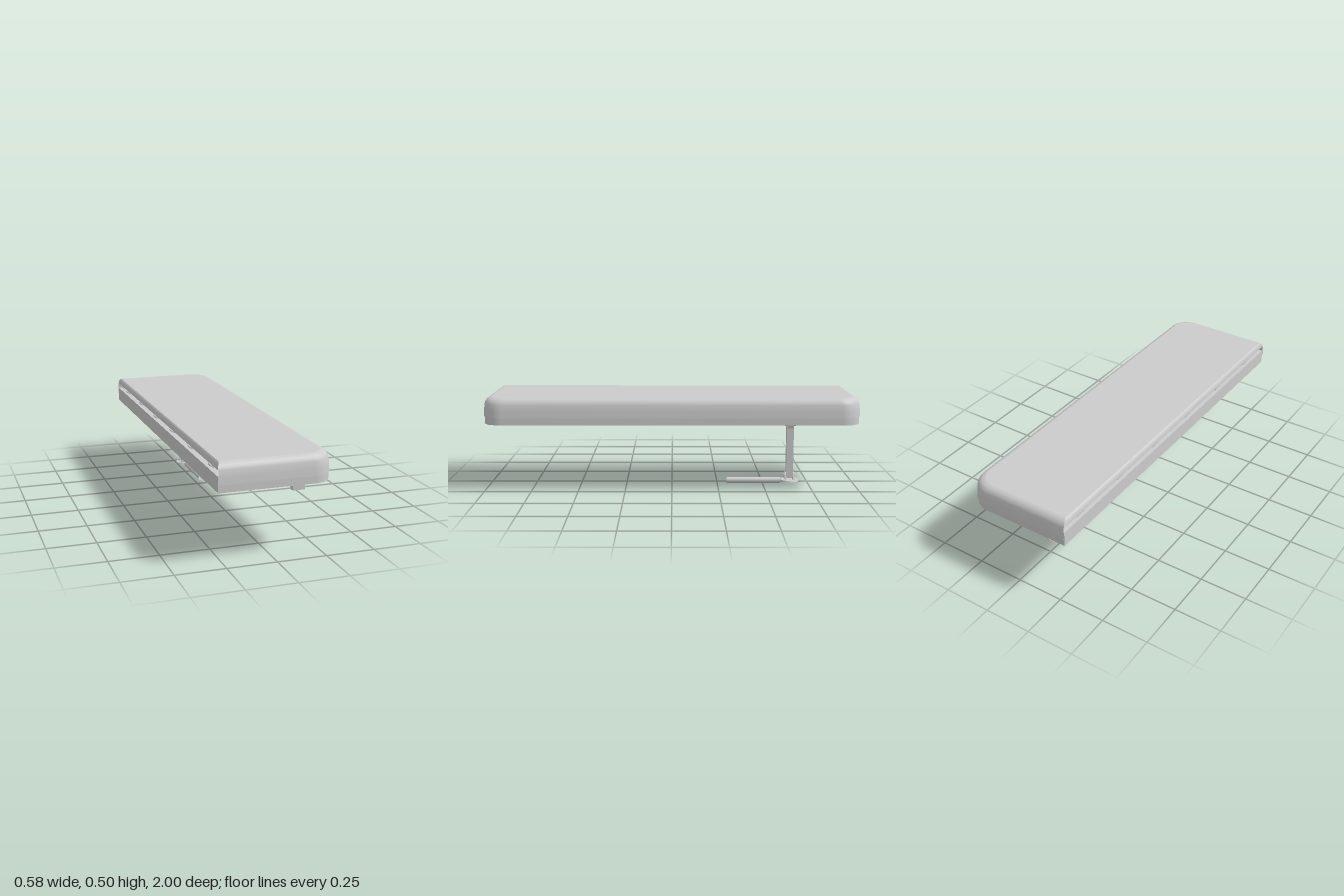
import * as THREE from 'three';
import { toCreasedNormals } from 'three/addons/utils/BufferGeometryUtils.js';

const mat = new THREE.MeshStandardMaterial({ color: 0xcccccc });
const thinMat = new THREE.MeshStandardMaterial({ color: 0xcccccc, side: THREE.DoubleSide });

function add(parent, name, geometry, material = mat) {
  const mesh = new THREE.Mesh(geometry, material);
  mesh.name = name;
  parent.add(mesh);
  return mesh;
}

// Box given by its limits on each axis
function box(parent, name, [x0, x1], [y0, y1], [z0, z1]) {
  const mesh = add(parent, name, new THREE.BoxGeometry(x1 - x0, y1 - y0, z1 - z0));
  mesh.position.set((x0 + x1) / 2, (y0 + y1) / 2, (z0 + z1) / 2);
  return mesh;
}

// Cylinder lying along z
function pin(parent, name, r, length, x, y, z) {
  const geometry = new THREE.CylinderGeometry(r, r, length, 24).rotateX(Math.PI / 2);
  const mesh = add(parent, name, geometry);
  mesh.position.set(x, y, z);
  return mesh;
}

// Plan outline: square corners at -x, round corners at +x
function outline(x0, x1, halfZ, r, steps = 14) {
  const pts = [new THREE.Vector2(x0, -halfZ)];
  for (const side of [-1, 1]) {
    for (let i = 0; i <= steps; i++) {
      const a = (side < 0 ? -Math.PI / 2 : 0) + (i / steps) * Math.PI / 2;
      pts.push(new THREE.Vector2(x1 - r + r * Math.cos(a), side * (halfZ - r) + r * Math.sin(a)));
    }
  }
  pts.push(new THREE.Vector2(x0, halfZ));
  return pts;
}

// Flat slab of a plan outline, standing from y0 to y1
function slab(pts, holePts, y0, y1) {
  const shape = new THREE.Shape(pts);
  if (holePts) shape.holes.push(new THREE.Path(holePts));
  const geometry = new THREE.ExtrudeGeometry(shape, { depth: y1 - y0, bevelEnabled: false });
  return toCreasedNormals(geometry.rotateX(-Math.PI / 2).translate(0, y0, 0), 0.6);
}

// Cushion outline, drawn in by an inset (less on the straight side)
function cushionRing(inset) {
  return outline(-0.29 + Math.max(0, inset - 0.008) * 0.4, 0.288 - inset, 1 - inset, 0.11 - inset * 0.5);
}

// Upholstered sides: stacked outlines, with a slot left open low on the -x side
function cushionSides(levels, lipLevel) {
  const pos = [], index = [];
  let n = 0;
  levels.forEach(([inset, y], k) => {
    const ring = cushionRing(inset);
    n = ring.length;
    for (const p of ring) pos.push(p.x, y, -p.y);
    if (k === 0) return;
    for (let j = 0; j < n; j++) {
      if (j === n - 1 && k <= lipLevel) continue;
      const a = (k - 1) * n + j, b = (k - 1) * n + (j + 1) % n;
      index.push(a, b, b + n, a, b + n, a + n);
    }
  });
  const geometry = new THREE.BufferGeometry();
  geometry.setAttribute('position', new THREE.Float32BufferAttribute(pos, 3));
  geometry.setIndex(index);
  return toCreasedNormals(geometry, 0.6);
}

// Upright plate drawn in x,y and centred on z
function plate(parent, name, shape, thickness, z) {
  const geometry = new THREE.ExtrudeGeometry(shape, { depth: thickness, bevelEnabled: false, curveSegments: 16 });
  add(parent, name, geometry).position.z = z - thickness / 2;
}

export function createModel() {
  const model = new THREE.Group();
  model.name = 'foldingBunk';

  // Cushion: turned-in bottom edge, near-upright sides, rounded shoulder, flat top
  const levels = [[0.02, 0.402], [0, 0.402], [0.002, 0.435], [0.006, 0.47],
    [0.01, 0.481], [0.017, 0.491], [0.026, 0.499], [0.04, 0.503]];
  add(model, 'cushionSides', cushionSides(levels, 3), thinMat);
  const top = new THREE.ShapeGeometry(new THREE.Shape(cushionRing(0.04)));
  add(model, 'cushionTop', top.rotateX(-Math.PI / 2).translate(0, 0.503, 0), thinMat);

  // Tray: rim, tall wall on the straight side and floor
  const tray = new THREE.Group();
  tray.name = 'tray';
  model.add(tray);
  add(tray, 'rim', slab(outline(-0.29, 0.283, 0.994, 0.1),
    outline(-0.263, 0.256, 0.967, 0.075).reverse(), 0.363, 0.402));
  box(tray, 'backWall', [-0.29, -0.27], [0.364, 0.44], [-0.993, 0.993]);
  add(tray, 'floor', slab(outline(-0.28, 0.272, 0.985, 0.09), null, 0.427, 0.435));
  add(tray, 'innerWall', slab(outline(-0.28, 0.272, 0.985, 0.09),
    outline(-0.265, 0.258, 0.97, 0.077).reverse(), 0.4, 0.43));

  // Cross ribs, their end clips above the floor, and stepped panels between them
  const pitch = 0.329;
  for (let i = 0; i < 6; i++) {
    const z = -0.833 + i * pitch;
    box(tray, 'rib', [-0.266, 0.258], [0.37, 0.43], [z - 0.022, z + 0.022]);
    box(tray, 'ribClip', [-0.272, -0.255], [0.433, 0.446], [z - 0.025, z + 0.025]);
    if (i < 5) {
      const m = z + pitch / 2;
      box(tray, 'panelBorder', [-0.235, 0.225], [0.421, 0.43], [m - 0.12, m + 0.12]);
      box(tray, 'panelCentre', [-0.215, 0.205], [0.416, 0.425], [m - 0.1, m + 0.1]);
    }
  }

  // Latch under the front end and pivot bracket in the square corner
  box(model, 'latch', [0.07, 0.13], [0.34, 0.37], [0.968, 0.994]);
  for (const x of [-0.25, -0.215]) {
    box(model, 'cornerBracket', [x - 0.005, x + 0.005], [0.368, 0.43], [0.915, 0.968]);
  }
  pin(model, 'cornerPin', 0.009, 0.06, -0.232, 0.387, 0.94).rotation.y = Math.PI / 2;

  // Folding leg
  const legX = 0.039;
  const leg = new THREE.Group();
  leg.name = 'leg';
  leg.position.z = -0.648;
  model.add(leg);
  box(leg, 'post', [0.02, 0.059], [0.03, 0.325], [-0.019, 0.019]);
  box(leg, 'mountBlock', [0.008, 0.06], [0.36, 0.43], [-0.032, 0.032]);
  box(leg, 'mountBeam', [-0.06, 0.04], [0.385, 0.41], [-0.018, 0.018]);

  const upperArm = new THREE.Shape();
  upperArm.moveTo(0.02, 0.364);
  upperArm.lineTo(0.049, 0.328);
  upperArm.absarc(0.058, 0.335, 0.0115, Math.PI * 1.2, Math.PI * 2.1, false);
  upperArm.lineTo(0.056, 0.364);

  const postTab = new THREE.Shape();
  postTab.moveTo(0.045, 0.305);
  postTab.lineTo(0.061, 0.31);
  postTab.absarc(0.058, 0.335, 0.009, 0, Math.PI, false);

  const footEar = new THREE.Shape();
  footEar.moveTo(0.007, 0.02);
  footEar.lineTo(0.071, 0.02);
  footEar.lineTo(0.057, 0.051);
  footEar.absarc(legX, 0.042, 0.02, 0.46, Math.PI - 0.46, false);
  footEar.lineTo(0.007, 0.02);

  plate(leg, 'postTab', postTab, 0.036, 0);
  for (const side of [-1, 1]) {
    plate(leg, 'upperArm', upperArm, 0.012, side * 0.023);
    plate(leg, 'footEar', footEar, 0.009, side * 0.0225);
  }
  pin(leg, 'upperPin', 0.008, 0.066, 0.058, 0.335, 0);
  pin(leg, 'footPin', 0.007, 0.062, legX, 0.048, 0);
  box(leg, 'releaseTab', [0.062, 0.081], [0.333, 0.336], [-0.015, 0.015]);

  // Round foot and the open tube running forward from it
  const foot = add(leg, 'footDisc', new THREE.CylinderGeometry(0.051, 0.054, 0.008, 40));
  foot.position.set(legX, 0.018, 0);
  const tube = new THREE.CylinderGeometry(0.016, 0.016, 0.295, 24, 1, true).rotateX(Math.PI / 2);
  add(model, 'footTube', tube, thinMat).position.set(legX, 0.016, -0.45);

  return model;
}
